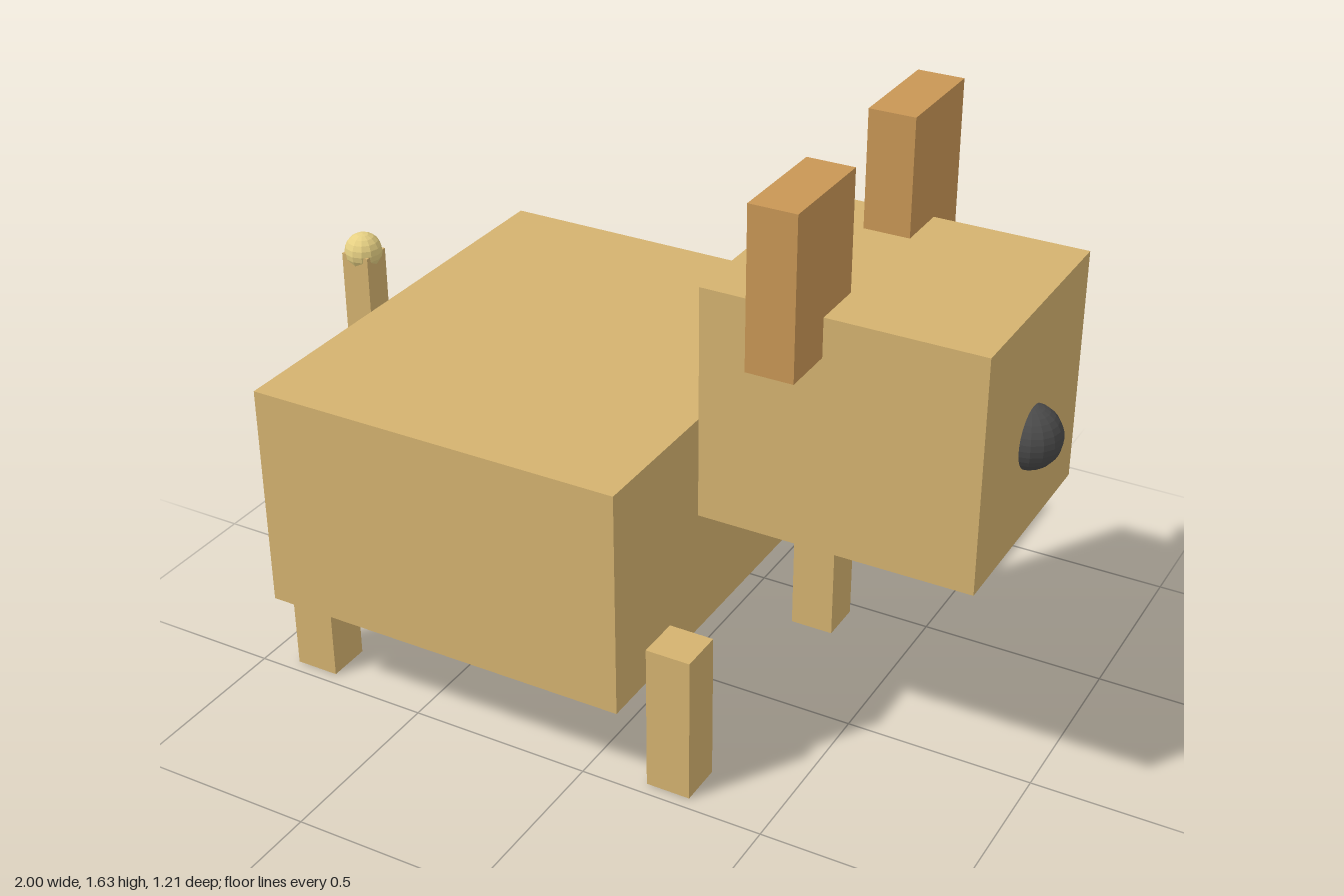
import * as THREE from 'three';

const paint = (color) => new THREE.MeshStandardMaterial({ color, flatShading: true });

export function createModel() {
  const model = new THREE.Group();
  const tan = paint(0xd4b26f);
  const brown = paint(0xc89655);
  const dark = paint(0x4a4a4a);
  const cream = paint(0xe6d083);

  const add = (name, geometry, material, x, y, z) => {
    const mesh = new THREE.Mesh(geometry, material);
    mesh.name = name;
    mesh.position.set(x, y, z);
    model.add(mesh);
  };
  const box = (w, h, d) => new THREE.BoxGeometry(w, h, d);

  // Body and head, facing +x
  add('body', box(1.014, 0.606, 1.213), tan, -0.342, 0.611, 0);
  add('head', box(0.706, 0.606, 0.606), tan, 0.572, 1.018, 0);
  add('nose', new THREE.SphereGeometry(0.08, 16, 16), dark, 0.92, 0.977, 0);

  // Legs and ears, mirrored across z
  const leg = box(0.12, 0.405, 0.12);
  const ear = box(0.12, 0.405, 0.283);
  for (const [side, s] of [['Left', -1], ['Right', 1]]) {
    add('frontLeg' + side, leg, tan, 0.225, 0.2025, s * 0.405);
    add('backLeg' + side, leg, tan, -0.849, 0.2025, s * 0.405);
    add('ear' + side, ear, brown, 0.47, 1.423, s * 0.304);
  }

  // Upright tail with a rounded tip
  add('tail', box(0.08, 0.405, 0.08), tan, -0.95, 0.815, 0);
  add('tailTip', new THREE.SphereGeometry(0.05, 12, 10), cream, -0.95, 1.018, 0);

  return model;
}
